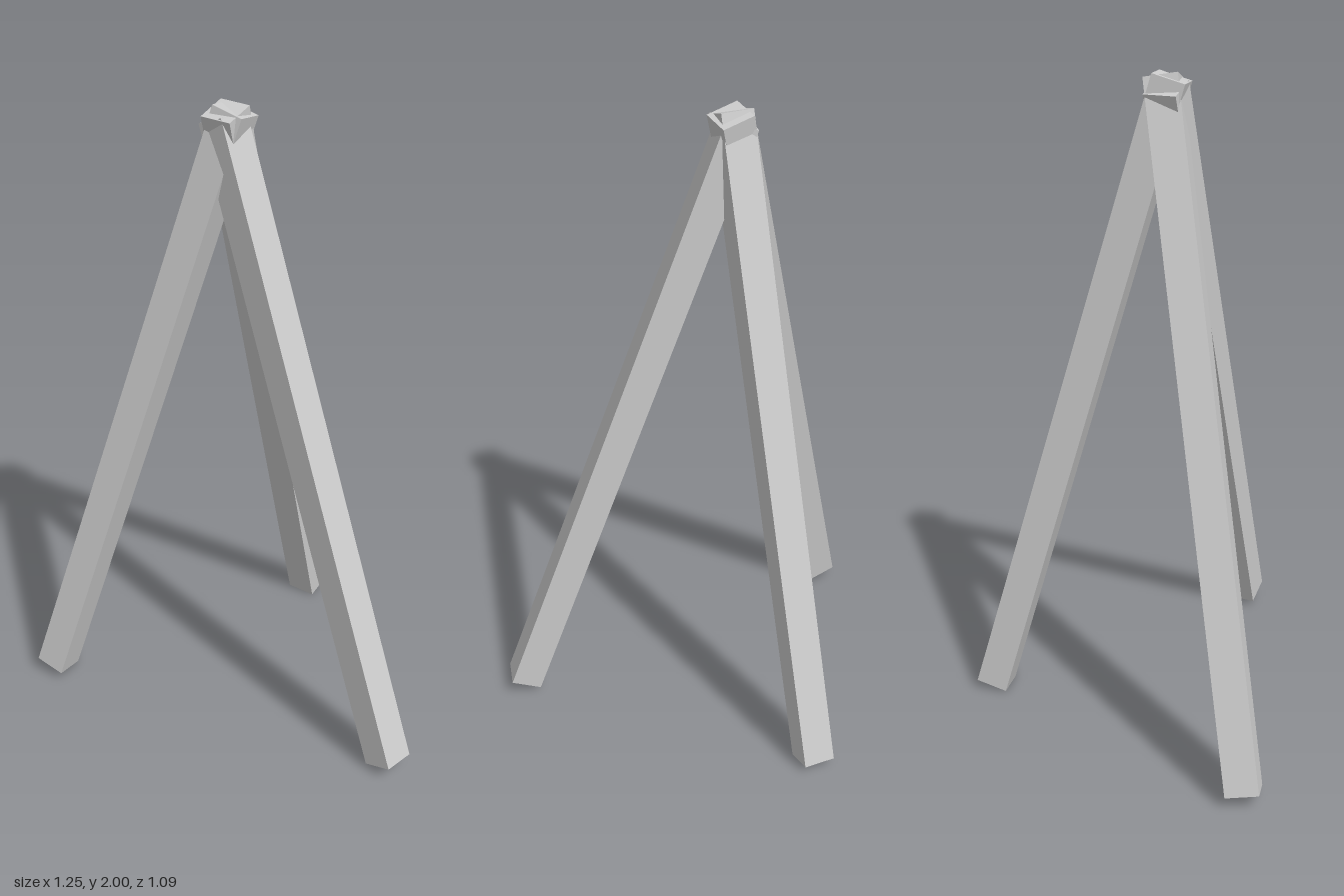
import * as THREE from 'three';

const LENGTH = 2.05, WIDTH = 0.1;

// A square beam rising from the centre of its foot; `side` is the direction of one pair of faces.
function beam(name, foot, axis, side, material) {
  const up = new THREE.Vector3(...axis).normalize();
  const x = new THREE.Vector3(...side);
  x.addScaledVector(up, -x.dot(up)).normalize();
  const z = new THREE.Vector3().crossVectors(x, up);

  const geometry = new THREE.BoxGeometry(WIDTH, LENGTH, WIDTH);
  geometry.translate(0, LENGTH / 2, 0);
  const mesh = new THREE.Mesh(geometry, material);
  mesh.name = name;
  mesh.quaternion.setFromRotationMatrix(new THREE.Matrix4().makeBasis(x, up, z));
  mesh.position.set(...foot);
  return mesh;
}

export function createModel() {
  const group = new THREE.Group();
  group.name = 'tripod';
  const material = new THREE.MeshStandardMaterial({ color: 0xcccccc, flatShading: true });

  // Three leaning legs whose tops cross and overlap
  group.add(
    beam('leftLeg', [0.577, 0.04, 0.053], [-0.35, 0.937, 0], [0.937, 0.35, 0], material),
    beam('backLeg', [-0.295, 0.019, -0.49], [0.0895, 1, 0.281], [0.98, -0.034, -0.19], material),
    beam('rightLeg', [-0.5625, 0.035, 0.4825], [0.232, 1, -0.232], [0.095, -0.025, -0.025], material),
  );
  return group;
}
